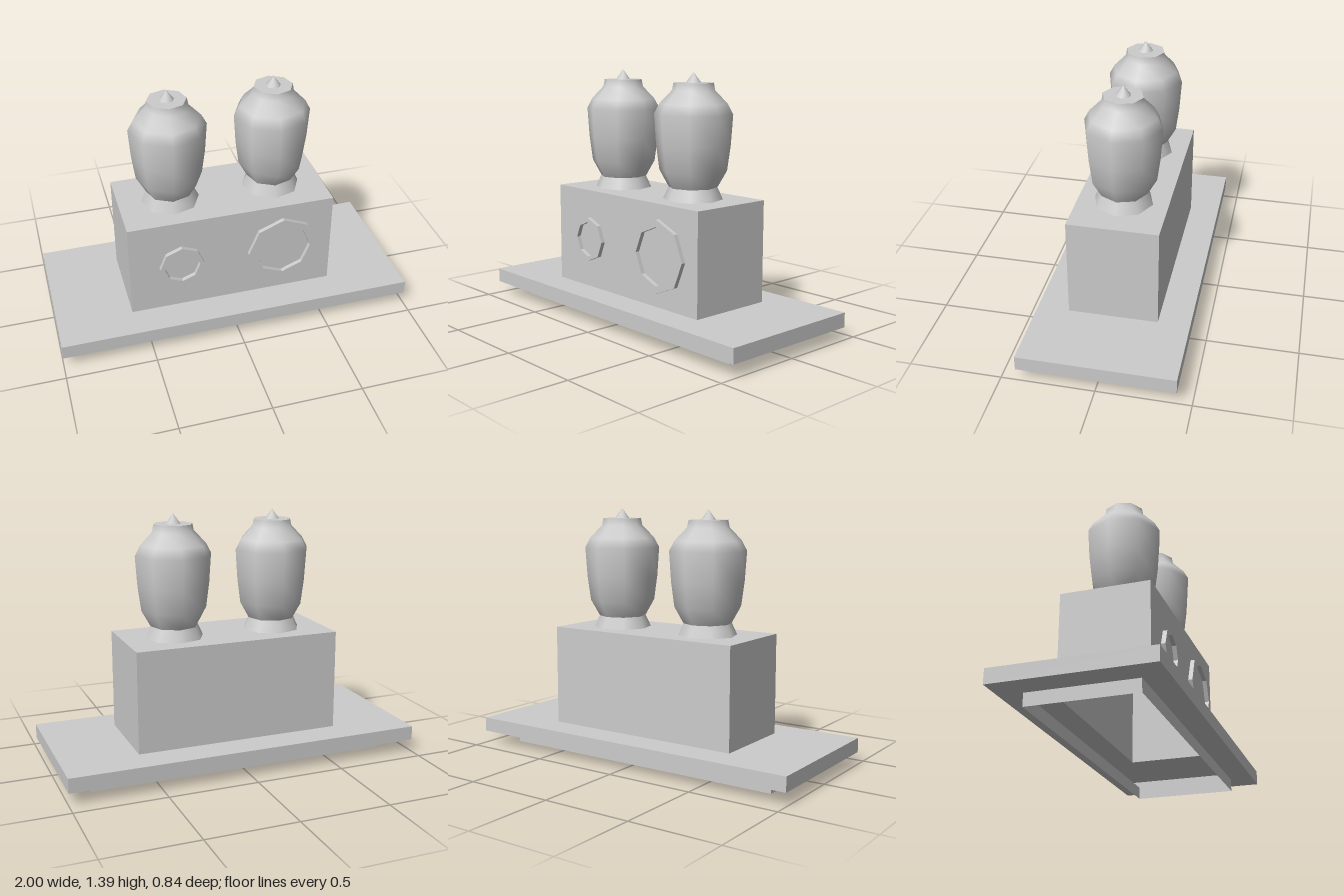
import * as THREE from 'three';

const flat = new THREE.MeshStandardMaterial({ color: 0xcccccc, flatShading: true, side: THREE.DoubleSide });
const smooth = new THREE.MeshStandardMaterial({ color: 0xcccccc, side: THREE.DoubleSide });

function addMesh(parent, name, geometry, material) {
  const mesh = new THREE.Mesh(geometry, material);
  mesh.name = name;
  parent.add(mesh);
  return mesh;
}

// Joins rectangles [halfX, halfZ, y] into a shell; side 0 is the front
function rectLoft(rings, sides = [0, 1, 2, 3]) {
  const corners = [[-1, 1], [1, 1], [1, -1], [-1, -1]];
  const at = ([hx, hz, y], k) => [corners[k % 4][0] * hx, y, corners[k % 4][1] * hz];
  const points = [];
  for (let i = 0; i < rings.length - 1; i++) {
    for (const k of sides) {
      const a = at(rings[i], k), b = at(rings[i], k + 1);
      const c = at(rings[i + 1], k + 1), d = at(rings[i + 1], k);
      points.push(...a, ...b, ...c, ...a, ...c, ...d);
    }
  }
  const geometry = new THREE.BufferGeometry();
  geometry.setAttribute('position', new THREE.Float32BufferAttribute(points, 3));
  geometry.computeVertexNormals();
  return geometry;
}

// Eight-sided turned form from [radius, y] points
function turned(profile, phase = 0) {
  return new THREE.LatheGeometry(profile.map(([r, y]) => new THREE.Vector2(r, y)), 8, phase);
}

function octagon(x, y, r) {
  const path = new THREE.Path();
  for (let i = 0; i < 8; i++) {
    const a = i * Math.PI / 4, px = x + r * Math.cos(a), py = y + r * Math.sin(a);
    if (i) path.lineTo(px, py); else path.moveTo(px, py);
  }
  path.closePath();
  return path;
}

export function createModel() {
  const model = new THREE.Group();
  model.name = 'twinJarUnit';
  const hx = 0.58, hz = 0.245, floor = 0.15, top = 0.71;
  const dials = [
    { name: 'largeDial', x: 0.29, y: 0.43, outer: 0.2, inner: 0.16 },
    { name: 'smallDial', x: -0.29, y: 0.43, outer: 0.125, inner: 0.1 },
  ];

  // Base: hollow skirt and wide plate, open underneath
  addMesh(model, 'base', rectLoft([
    [0.85, 0.29, 0], [0.85, 0.29, 0.07], [1, 0.42, 0.07], [1, 0.42, floor], [hx, hz, floor],
  ]), flat);

  // Housing: side and back walls, top, and a front pierced for the dials
  addMesh(model, 'housingWalls', rectLoft([[hx, hz, floor], [hx, hz, top]], [1, 2, 3]), flat);
  addMesh(model, 'housingTop', rectLoft([[hx, hz, top], [0, 0, top]]), flat);
  const front = new THREE.Shape([
    new THREE.Vector2(-hx, floor), new THREE.Vector2(hx, floor),
    new THREE.Vector2(hx, top), new THREE.Vector2(-hx, top),
  ]);
  for (const d of dials) front.holes.push(octagon(d.x, d.y, d.outer));
  addMesh(model, 'housingFront', new THREE.ShapeGeometry(front), flat).position.z = hz;

  // Dials: raised octagonal rims around a recessed face
  for (const d of dials) {
    const depth = 0.024;
    const dial = addMesh(model, d.name, turned([
      [d.outer, 0], [d.outer, depth], [d.inner, depth], [d.inner, 0], [0, 0],
    ]), flat);
    dial.rotation.x = Math.PI / 2;
    dial.position.set(d.x, d.y, hz);
  }

  // Pair of jars: flared foot, smooth body, flat lid and pointed knob
  const phase = -5 * Math.PI / 180;
  for (const side of [-1, 1]) {
    const jar = new THREE.Group();
    jar.name = side > 0 ? 'leftJar' : 'rightJar';
    jar.position.x = side * 0.29;
    addMesh(jar, 'jarFoot', turned([[0.162, top], [0.132, 0.775]], phase), smooth);
    addMesh(jar, 'jarBody', turned([
      [0.132, 0.775], [0.182, 0.865], [0.2, 1.0], [0.211, 1.165],
      [0.182, 1.22], [0.115, 1.29], [0.107, 1.33],
    ], phase), smooth);
    addMesh(jar, 'jarLid', turned([[0.107, 1.33], [0, 1.33]], phase), flat);
    addMesh(jar, 'jarKnob', turned([[0.041, 1.33], [0, 1.386]], phase), smooth);
    model.add(jar);
  }
  return model;
}
